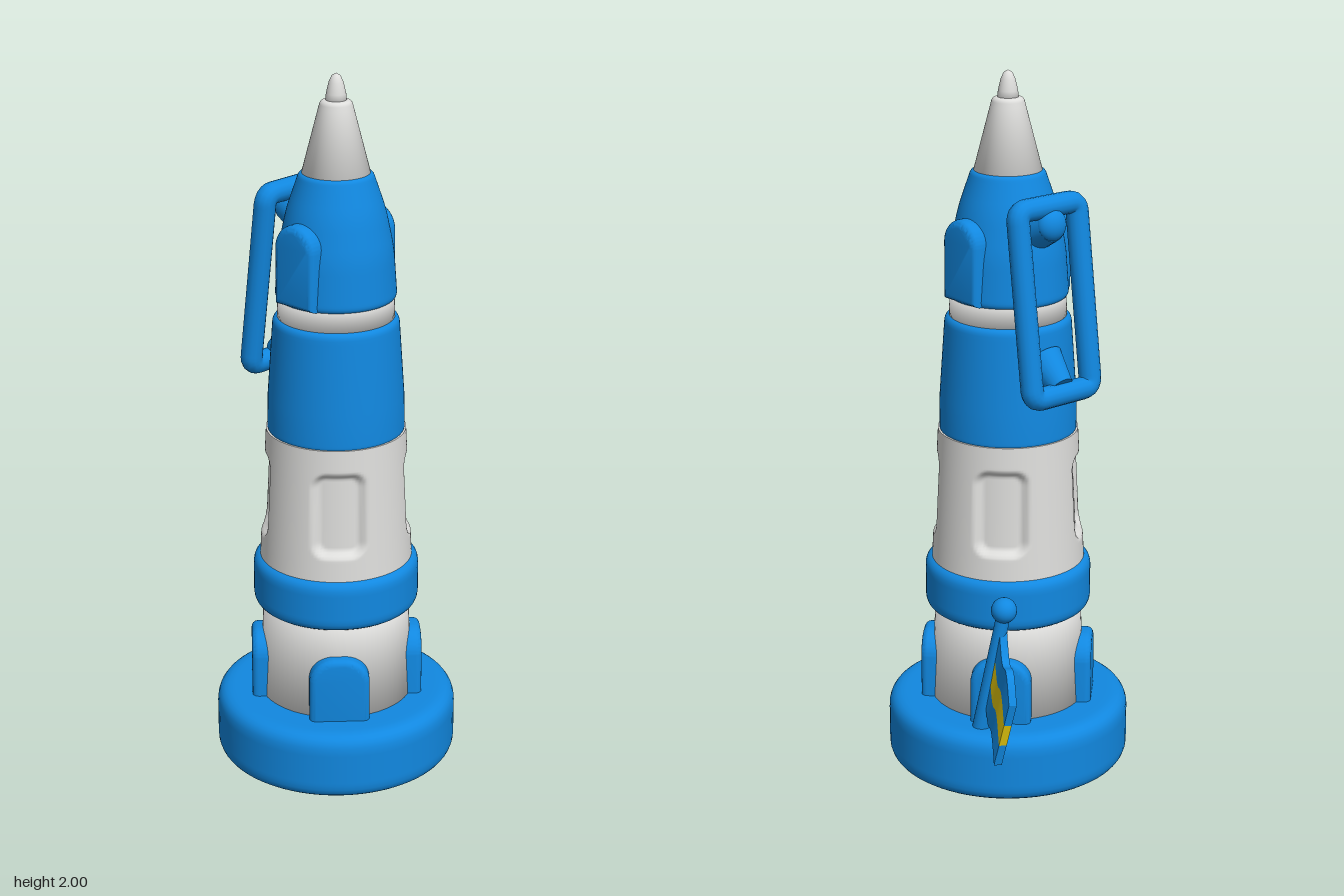
import * as THREE from 'three';
import { toCreasedNormals } from 'three/addons/utils/BufferGeometryUtils.js';

const mat = (name, color) => {
  const m = new THREE.MeshStandardMaterial({ color });
  m.name = name;
  return m;
};

export function createModel() {
  const root = new THREE.Group();
  root.name = 'penTower';
  const blue = mat('blue', 0x1188e0);
  const white = mat('offWhite', 0xdededc);
  const yellow = mat('yellow', 0xe0c40c);

  const add = (name, geo, material, parent = root) => {
    const mesh = new THREE.Mesh(geo, material);
    mesh.name = name;
    parent.add(mesh);
    return mesh;
  };

  // Solid of revolution; each profile point is [radius, y, corner rounding]
  const turned = (name, profile, material) => {
    const v = profile.map(p => new THREE.Vector2(p[0], p[1]));
    const pts = [v[0]];
    for (let i = 1; i < v.length - 1; i++) {
      const c = profile[i][2] || 0;
      if (!c) { pts.push(v[i]); continue; }
      const a = v[i].clone().add(v[i - 1].clone().sub(v[i]).setLength(c));
      const b = v[i].clone().add(v[i + 1].clone().sub(v[i]).setLength(c));
      const before = a.clone().lerp(v[i - 1], 0.06);
      const after = b.clone().lerp(v[i + 1], 0.06);
      pts.push(before, ...new THREE.QuadraticBezierCurve(a, v[i], b).getPoints(6), after);
    }
    pts.push(v[v.length - 1]);
    return add(name, new THREE.LatheGeometry(pts, 72), material);
  };

  // Stacked body
  turned('base', [[0, 0], [0.345, 0, 0.045], [0.345, 0.197, 0.05], [0, 0.197]], blue);
  turned('lowerBody', [[0, 0.18], [0.222, 0.18], [0.208, 0.48], [0, 0.48]], white);
  turned('collar', [[0, 0.468], [0.235, 0.468, 0.035], [0.235, 0.62, 0.035], [0, 0.62]], blue);
  turned('upperBody', [[0, 0.995], [0.192, 0.995, 0.012], [0.19, 1.1], [0.174, 1.33, 0.022], [0, 1.33]], blue);
  turned('neckBand', [[0, 1.31], [0.163, 1.31], [0.16, 1.395], [0, 1.395]], white);
  turned('cap', [[0, 1.38], [0.168, 1.38, 0.02], [0.158, 1.52, 0.03], [0.135, 1.63, 0.03],
    [0.1, 1.732, 0.012], [0, 1.732]], blue);
  turned('nib', [[0, 1.72], [0.096, 1.72], [0.042, 1.928, 0.012], [0, 1.928]], white);
  turned('tip', [[0, 1.91], [0.03, 1.91], [0.027, 1.945], [0.02, 1.975], [0.012, 1.993], [0, 2]], white);

  // Middle section with four pressed-in windows
  const mid = new THREE.CylinderGeometry(0.196, 0.216, 0.385, 160, 56);
  const p = mid.attributes.position;
  for (let i = 0; i < p.count; i++) {
    const x = p.getX(i), y = p.getY(i), z = p.getZ(i), r = Math.hypot(x, z);
    if (Math.abs(y) > 0.16 || r < 0.1) continue;
    const a = Math.atan2(x, z) + Math.PI * 2;
    const s = ((a % (Math.PI / 2)) - Math.PI / 4) * r;
    const qx = Math.abs(s) - 0.036, qy = Math.abs(y) - 0.082;
    const d = Math.hypot(Math.max(qx, 0), Math.max(qy, 0)) + Math.min(Math.max(qx, qy), 0) - 0.04;
    const k = (r - 0.02 * (1 - THREE.MathUtils.smoothstep(d, -0.018, 0.004))) / r;
    p.setXYZ(i, x * k, y, z * k);
  }
  mid.computeVertexNormals();
  add('windowSection', mid, white).position.y = 0.808;

  // Arched block, rounded at the top, with its outer face at distance `out`
  const arch = (halfW, y0, y1, round, inner, out, bevel) => {
    const w = halfW - bevel, t = y1 - bevel;
    const s = new THREE.Shape();
    s.moveTo(-w, y0);
    s.lineTo(w, y0);
    s.lineTo(w, t - round);
    s.absarc(w - round, t - round, round, 0, Math.PI / 2);
    s.absarc(round - w, t - round, round, Math.PI / 2, Math.PI);
    const g = new THREE.ExtrudeGeometry(s, {
      depth: out - inner - bevel, bevelSize: bevel, bevelThickness: bevel, bevelSegments: 4, curveSegments: 10,
    });
    g.translate(0, 0, inner);
    return toCreasedNormals(g, 0.7);
  };

  // Four buttresses around the foot
  for (let i = 0; i < 4; i++) {
    add('footButtress', arch(0.085, 0.18, 0.385, 0.055, 0.15, 0.244, 0.018), blue)
      .rotation.y = Math.PI / 4 + i * Math.PI / 2;
  }
  // Raised pads on the two sides of the cap
  for (const side of [-1, 1]) {
    add('capPad', arch(0.07, 1.405, 1.615, 0.05, 0.08, 0.176, 0.02), blue).rotation.y = side * Math.PI / 2;
  }

  // Back clip: a rounded rectangular loop, tilted away from the body
  const clip = new THREE.Group();
  clip.name = 'clip';
  clip.position.set(0, 1.405, -0.196);
  clip.rotation.x = 0.13;
  root.add(clip);
  const hw = 0.103, hh = 0.255, c = 0.03;
  const V = (x, y) => new THREE.Vector3(x, y, 0);
  const loop = new THREE.CurvePath();
  const corners = [[1, 1], [-1, 1], [-1, -1], [1, -1]];
  corners.forEach(([sx, sy], i) => {
    const [nx, ny] = corners[(i + 1) % 4];
    const vertical = sx === nx;
    const from = vertical ? V(sx * hw, sy * (hh - c)) : V(sx * (hw - c), sy * hh);
    const to = vertical ? V(nx * hw, ny * (hh - c)) : V(nx * (hw - c), ny * hh);
    const end = vertical ? V(nx * (hw - c), ny * hh) : V(nx * hw, ny * (hh - c));
    loop.add(new THREE.LineCurve3(from, to));
    loop.add(new THREE.QuadraticBezierCurve3(to, V(nx * hw, ny * hh), end));
  });
  add('clipFrame', new THREE.TubeGeometry(loop, 160, 0.031, 14, true), blue, clip);

  // Lugs joining the clip to the body
  const between = (name, a, b, r0, r1) => {
    const dir = b.clone().sub(a);
    const m = add(name, new THREE.CylinderGeometry(r1, r0, dir.length(), 24), blue);
    m.position.copy(a).add(b).multiplyScalar(0.5);
    m.quaternion.setFromUnitVectors(new THREE.Vector3(0, 1, 0), dir.normalize());
    return m;
  };
  const P = (x, y, z) => new THREE.Vector3(x, y, z);
  between('upperLug', P(0, 1.58, -0.1), P(0, 1.61, -0.18), 0.06, 0.045);
  const knob = add('upperLugKnob', new THREE.SphereGeometry(0.045, 24, 16), blue);
  knob.position.set(0, 1.61, -0.18);
  knob.scale.z = 0.75;
  between('lowerLug', P(0, 1.23, -0.15), P(0, 1.17, -0.225), 0.055, 0.035);

  // Flag pole with its ball
  between('flagPole', P(0.22, 0.18, -0.145), P(0.18, 0.55, -0.2), 0.026, 0.019);
  add('poleBall', new THREE.SphereGeometry(0.036, 24, 16), blue).position.set(0.18, 0.555, -0.2);

  // Waving flag in three strips; u runs away from the pole, v runs down
  const normal = P(0.9, 0.08, 0.43).normalize();
  const flagPoint = (u, v, t) => P(
    0.187 + 0.08 * u + 0.018 * v,
    0.495 - 0.15 * u - 0.19 * v - 0.032 * Math.sin(u * Math.PI * 2),
    -0.205 - 0.138 * u + 0.043 * v,
  ).addScaledVector(normal, t);
  [['flagTop', blue], ['flagStripe', yellow], ['flagBottom', blue]].forEach(([name, material], row) => {
    const g = new THREE.BoxGeometry(1, 1, 0.022, 20, 2, 1);
    const q = g.attributes.position;
    for (let i = 0; i < q.count; i++) {
      const f = flagPoint(q.getX(i) + 0.5, (row + 0.5 - q.getY(i)) / 3, q.getZ(i));
      q.setXYZ(i, f.x, f.y, f.z);
    }
    g.computeVertexNormals();
    add(name, g, material);
  });

  return root;
}
